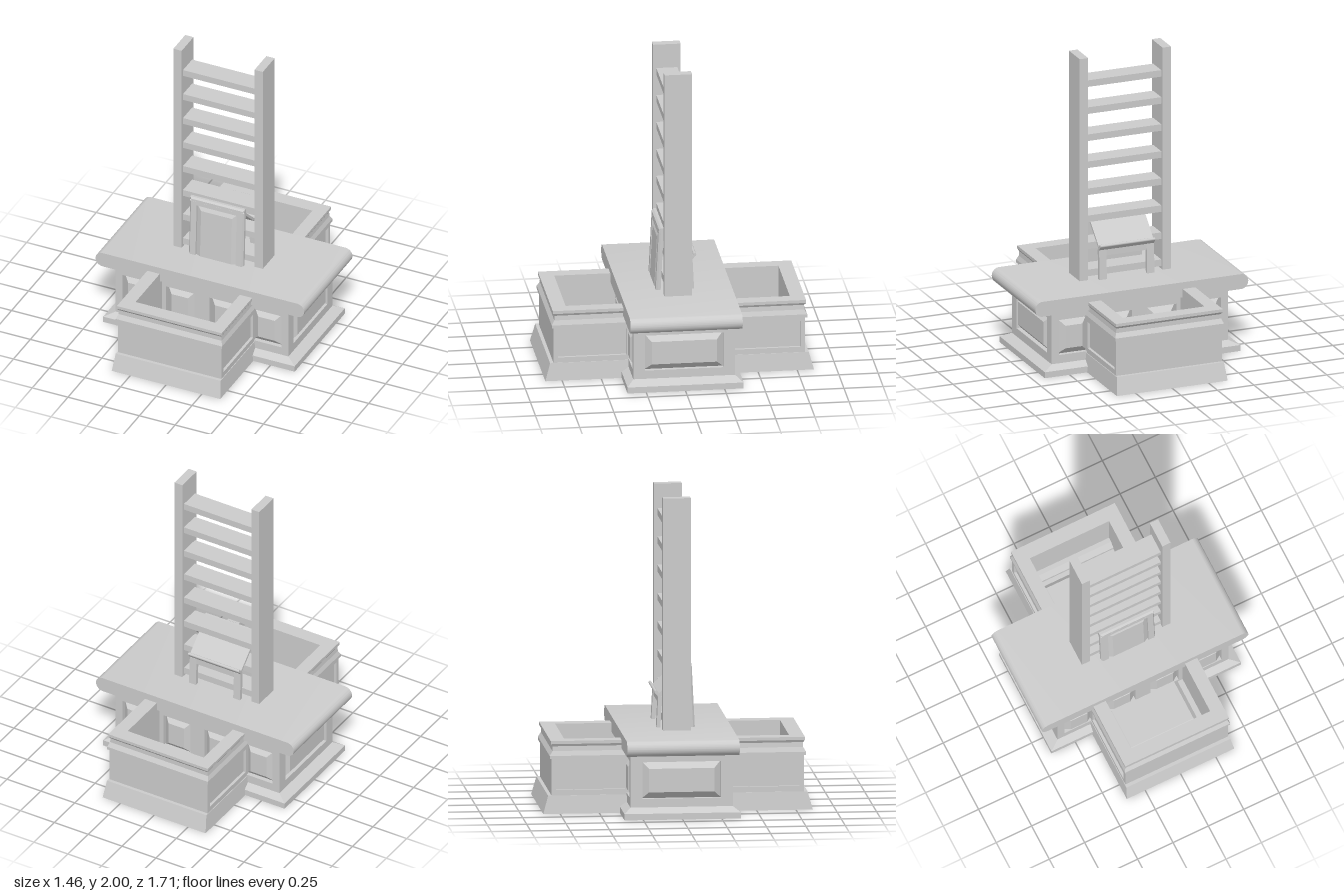
import * as THREE from 'three';
import { toCreasedNormals } from 'three/addons/utils/BufferGeometryUtils.js';

const mat = new THREE.MeshStandardMaterial({ color: 0xcccccc });

function add(parent, name, geo, x = 0, y = 0, z = 0) {
  const m = new THREE.Mesh(geo, mat);
  m.name = name;
  m.position.set(x, y, z);
  parent.add(m);
  return m;
}

function box(parent, name, w, h, d, x, y, z) {
  return add(parent, name, new THREE.BoxGeometry(w, h, d), x, y, z);
}

// Closed skin through stacked rectangles, each [halfWidth, zBack, zFront, height]
function loft(rings) {
  const pos = [];
  const c = rings.map(([w, z0, z1, y]) =>
    [[-w, y, z1], [w, y, z1], [w, y, z0], [-w, y, z0]]);
  const quad = (p, q, r, s) => pos.push(...p, ...q, ...r, ...p, ...r, ...s);
  for (let k = 0; k < c.length - 1; k++) {
    for (let i = 0; i < 4; i++) {
      const j = (i + 1) % 4;
      quad(c[k][i], c[k][j], c[k + 1][j], c[k + 1][i]);
    }
  }
  quad(c[0][3], c[0][2], c[0][1], c[0][0]);
  quad(...c[c.length - 1]);
  const g = new THREE.BufferGeometry();
  g.setAttribute('position', new THREE.Float32BufferAttribute(pos, 3));
  g.computeVertexNormals();
  return g;
}

function rectPath(path, x0, x1, y0, y1) {
  path.moveTo(x0, y0);
  path.lineTo(x1, y0);
  path.lineTo(x1, y1);
  path.lineTo(x0, y1);
  path.closePath();
  return path;
}

// Flat frame in the xy plane with rectangular openings [x0, x1, y0, y1]
function frame(x0, x1, y0, y1, openings, depth) {
  const s = rectPath(new THREE.Shape(), x0, x1, y0, y1);
  for (const o of openings) s.holes.push(rectPath(new THREE.Path(), ...o));
  return new THREE.ExtrudeGeometry(s, { depth, bevelEnabled: false });
}

// Framed wall with raised, bevelled panels, standing at the given distance
function panelledWall(parent, name, half, centres, panelHalf, distance, angle) {
  const wall = new THREE.Group();
  wall.name = name;
  wall.rotation.y = angle;
  parent.add(wall);
  const openings = centres.map(x => [x - panelHalf, x + panelHalf, 0.125, 0.36]);
  add(wall, 'wallFrame', frame(-half, half, 0.07, 0.41, openings, 0.03), 0, 0, distance - 0.03);
  const a = panelHalf, h = 0.1175;
  for (const x of centres) {
    const p = add(wall, 'raisedPanel', loft([
      [a, -h, h, -0.002], [a, -h, h, 0], [a - 0.042, 0.042 - h, h - 0.042, 0.038],
    ]), x, 0.2425, distance - 0.03);
    p.rotation.x = Math.PI / 2;
  }
}

function buildBody(root) {
  const body = new THREE.Group();
  body.name = 'centralBody';
  root.add(body);
  add(body, 'plinth', loft([
    [0.67, -0.37, 0.37, 0], [0.67, -0.37, 0.37, 0.04], [0.605, -0.325, 0.325, 0.07],
  ]));
  box(body, 'core', 1.15, 0.36, 0.59, 0, 0.235, 0);
  for (const k of [0, 1]) {
    panelledWall(body, k ? 'backWall' : 'frontWall', 0.605,
      [-0.455, -0.152, 0.152, 0.455], 0.1, 0.325, k * Math.PI);
    panelledWall(body, k ? 'rightWall' : 'leftWall', 0.295,
      [0], 0.25, 0.605, Math.PI / 2 + k * Math.PI);
  }
  // Table top with rounded ends
  const s = new THREE.Shape();
  s.absarc(0.68, 0.46, 0.05, -Math.PI / 2, Math.PI / 2);
  s.absarc(-0.68, 0.46, 0.05, Math.PI / 2, Math.PI * 1.5);
  s.closePath();
  const g = new THREE.ExtrudeGeometry(s, { depth: 0.715, bevelEnabled: false, curveSegments: 16 });
  add(root, 'tableTop', toCreasedNormals(g, 0.6), 0, 0, -0.3575);
}

// Open bin: skirting, wall and moulded rim outside, then down inside to the floor
function buildBin(root, name, angle) {
  const bin = new THREE.Group();
  bin.name = name;
  bin.rotation.y = angle;
  root.add(bin);
  const profile = [
    [0.38, 0.857, 0], [0.367, 0.825, 0.115], [0.345, 0.803, 0.115],
    [0.345, 0.803, 0.35], [0.372, 0.815, 0.35], [0.372, 0.815, 0.37],
    [0.361, 0.797, 0.40], [0.358, 0.797, 0.43], [0.367, 0.808, 0.445],
    [0.367, 0.808, 0.465], [0.28, 0.715, 0.465], [0.28, 0.715, 0.16],
    [0.28, 0.685, 0.16], [0.28, 0.655, 0.12], [0.28, 0.655, 0.1],
    [0.245, 0.625, 0.1], [0.22, 0.60, 0.125],
  ];
  add(bin, 'binShell', loft(profile.map(([w, z, y]) => [w, 0.2, z, y])));
  // Side frames around sunken panels
  for (const s of [-1, 1]) {
    const f = add(bin, 'sideFrame',
      frame(-0.803, -0.3, 0.115, 0.35, [[-0.775, -0.335, 0.15, 0.325]], 0.018),
      s > 0 ? 0.345 : -0.363, 0, 0);
    f.rotation.y = Math.PI / 2;
  }
}

function buildLadder(root) {
  const ladder = new THREE.Group();
  ladder.name = 'ladder';
  root.add(ladder);
  for (const s of [-1, 1]) box(ladder, 'upright', 0.058, 1.5, 0.176, s * 0.284, 1.25, 0);
  for (let i = 0; i < 8; i++) {
    box(ladder, 'rung', 0.53, 0.044, 0.134, 0, 0.55 + i * 0.1815, 0);
  }
}

function buildLectern(root) {
  const lectern = new THREE.Group();
  lectern.name = 'lectern';
  root.add(lectern);
  // Leaning front with a stepped, raised panel
  const front = new THREE.Group();
  front.name = 'lecternFront';
  front.position.set(0, 0.508, 0.127);
  front.rotation.x = -0.05;
  lectern.add(front);
  const panel = add(front, 'frontPanel', loft([
    [0.19, -0.417, 0, -0.03], [0.19, -0.417, 0, -0.012], [0.18, -0.407, 0, 0],
    [0.14, -0.367, 0, 0], [0.14, -0.367, 0, -0.015], [0.108, -0.335, 0, 0],
  ]));
  panel.rotation.x = Math.PI / 2;

  // Sloping board with a raised lip at its low edge
  const board = box(lectern, 'slopingBoard', 0.376, 0.016, 0.285, 0, 0.809, -0.003);
  board.rotation.x = -0.74;
  const lip = box(lectern, 'lip', 0.376, 0.05, 0.016, 0, 0.72, -0.107);
  lip.rotation.x = -0.68;
  const bead = add(lectern, 'lipBead',
    new THREE.CylinderGeometry(0.01, 0.01, 0.376, 12), 0, 0.737, -0.121);
  bead.rotation.z = Math.PI / 2;

  // Back legs and cross rail
  for (const s of [-1, 1]) {
    const leg = box(lectern, 'backLeg', 0.05, 0.2, 0.024, s * 0.163, 0.605, -0.1);
    leg.rotation.x = 0.05;
  }
  box(lectern, 'backRail', 0.3, 0.04, 0.02, 0, 0.685, -0.095);
}

export function createModel() {
  const root = new THREE.Group();
  root.name = 'pedestalWithLadder';
  buildBody(root);
  buildBin(root, 'frontBin', 0);
  buildBin(root, 'backBin', Math.PI);
  buildLadder(root);
  buildLectern(root);
  return root;
}
